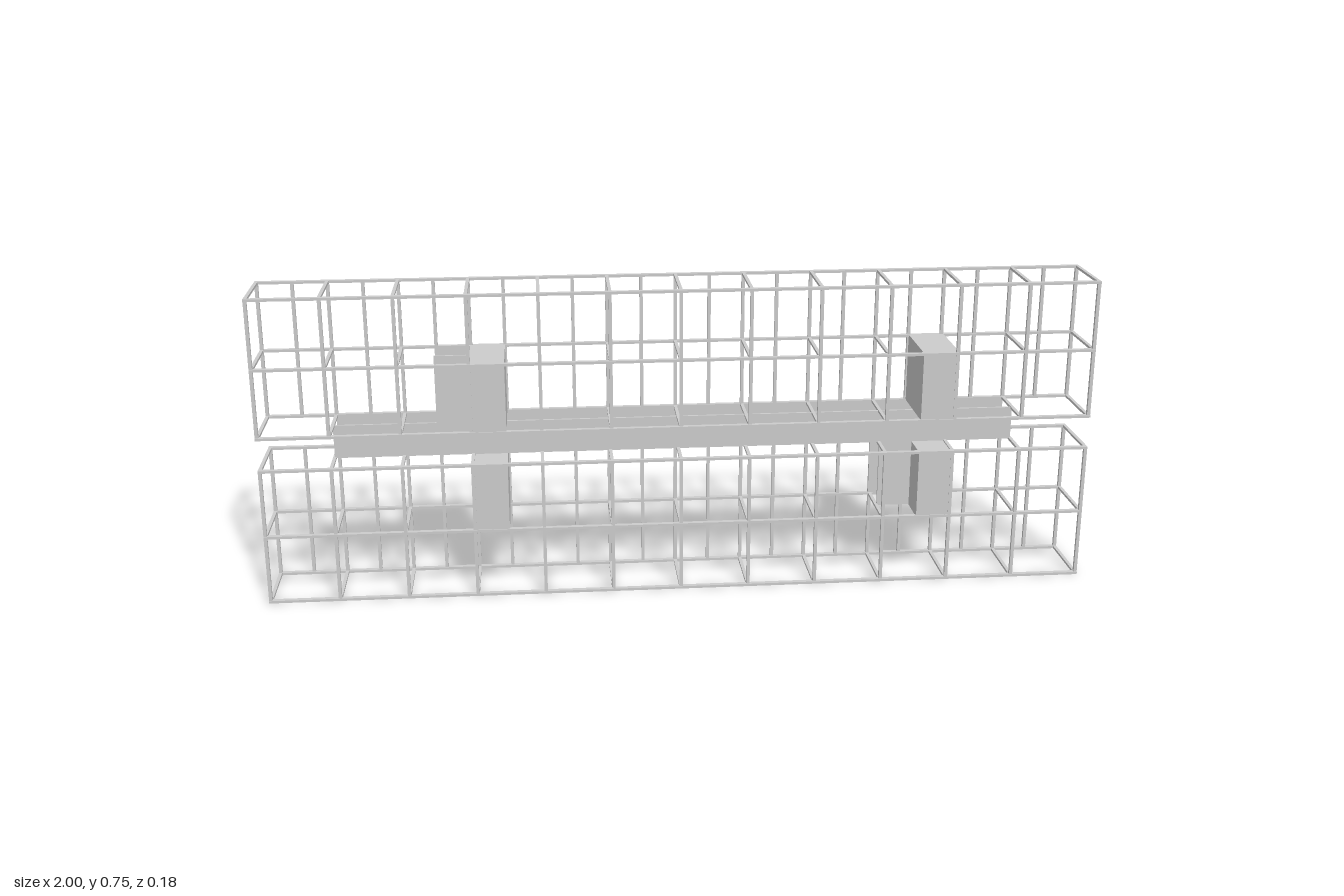
import * as THREE from 'three';

const material = new THREE.MeshStandardMaterial({ color: 0xcccccc, flatShading: true });

export function createModel() {
  const model = new THREE.Group();
  const cell = 0.166;          // bay size
  const depth = 0.084;         // front and back frame planes
  const end = 6 * cell;        // outermost posts

  // Box given by its limits on each axis
  function block(parent, name, [x0, x1], [y0, y1], [z0, z1]) {
    const mesh = new THREE.Mesh(new THREE.BoxGeometry(x1 - x0, y1 - y0, z1 - z0), material);
    mesh.position.set((x0 + x1) / 2, (y0 + y1) / 2, (z0 + z1) / 2);
    mesh.name = name;
    parent.add(mesh);
  }
  const around = (c, width) => [c - width / 2, c + width / 2];

  // Two-tier open frame: rails, cross bars and posts
  function frame(name, base) {
    const group = new THREE.Group();
    group.name = name;
    for (let tier = 0; tier < 3; tier++) {
      const y = around(base + 0.003 + tier * 0.167, 0.006);
      for (const z of [-depth, depth]) block(group, 'longRail', [-1, 1], y, around(z, 0.012));
      for (let i = -6; i <= 6; i++) block(group, 'crossBar', around(i * cell, 0.008), y, [-depth, depth]);
    }
    const height = [base, base + 0.34];
    for (let i = -6; i <= 6; i++) block(group, 'frontPost', around(i * cell, 0.008), height, around(depth, 0.008));
    // Back posts stand at half the bay spacing
    for (let i = -12; i <= 12; i++) block(group, 'backPost', around(i * cell / 2, 0.008), height, around(-depth, 0.008));
    model.add(group);
  }
  frame('lowerFrame', 0);
  frame('upperFrame', 0.415);

  // Thin vertical sheets in the middle and back planes
  const sheets = [0, -0.083];
  for (const z of sheets) {
    block(model, 'longPanel', [-0.83, 0.83], [0.337, 0.419], around(z, 0.006));
    block(model, 'upperSidePanel', [-0.583, -0.5], [0.419, 0.586], around(z, 0.006));
    block(model, 'lowerSidePanel', [0.5, 0.583], [0.17, 0.337], around(z, 0.006));
  }

  // Solid compartments above and below the long panels
  for (const [label, x] of [['right', [-0.5, -0.415]], ['left', [0.581, 0.666]]]) {
    block(model, label + 'UpperCompartment', x, [0.419, 0.588], [-0.087, 0.087]);
    block(model, label + 'LowerCompartment', x, [0.169, 0.337], [-0.087, 0.087]);
  }
  return model;
}
